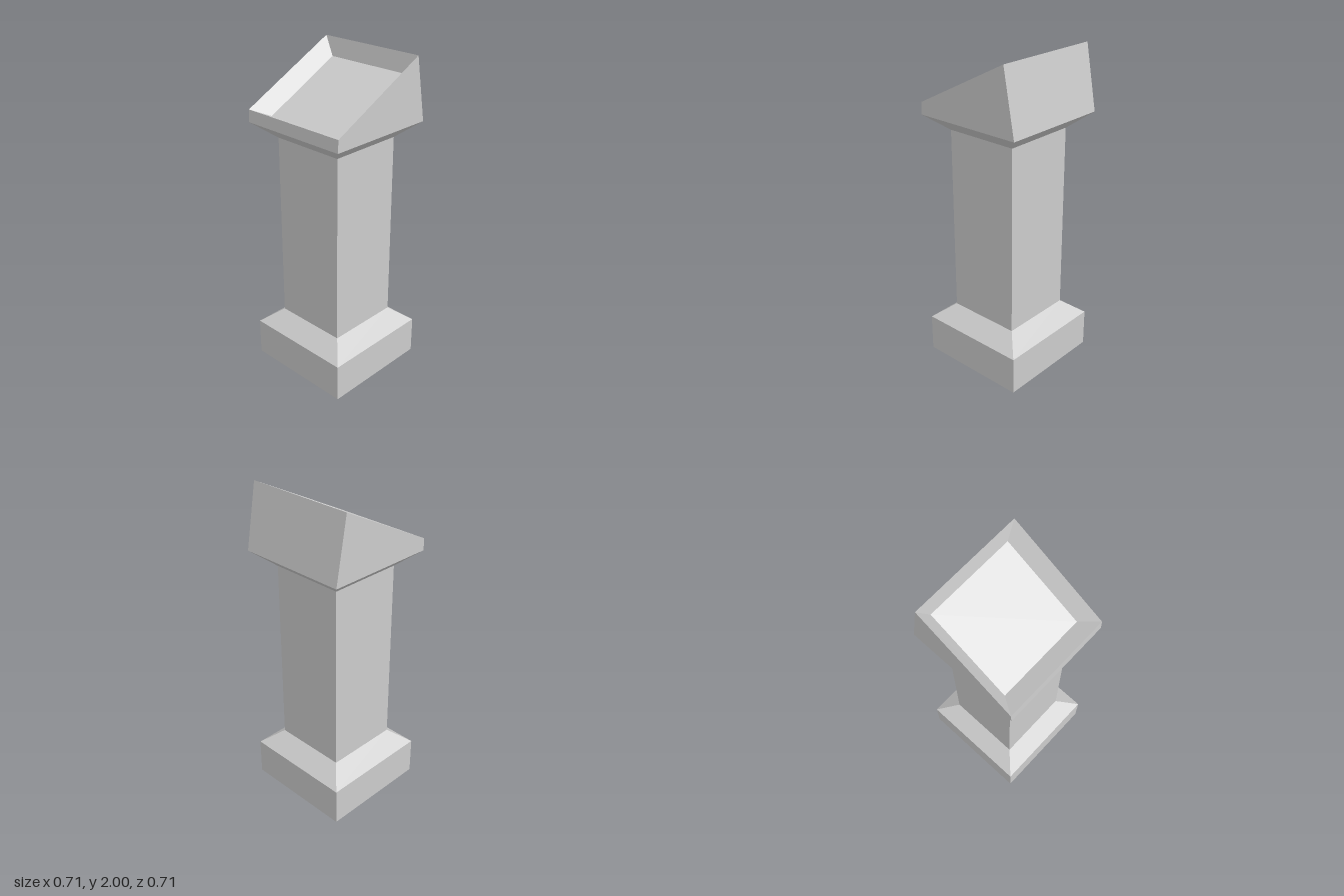
import * as THREE from 'three';

// Skin through four-cornered rings, each [left x, left y, right x, right y, half depth]
function loft(name, rings, { capBottom = false, capTop = false } = {}) {
  const corners = rings.map(([x0, y0, x1, y1, h]) => [
    [x0, y0, h], [x1, y1, h], [x1, y1, -h], [x0, y0, -h],
  ]);
  const pos = [];
  const quad = (a, b, c, d) => pos.push(...a, ...b, ...c, ...a, ...c, ...d);
  for (let r = 0; r < corners.length - 1; r++) {
    const low = corners[r], high = corners[r + 1];
    for (let i = 0; i < 4; i++) {
      const j = (i + 1) % 4;
      quad(low[i], low[j], high[j], high[i]);
    }
  }
  if (capBottom) quad(...[...corners[0]].reverse());
  if (capTop) quad(...corners[corners.length - 1]);

  const geometry = new THREE.BufferGeometry();
  geometry.setAttribute('position', new THREE.Float32BufferAttribute(pos, 3));
  geometry.computeVertexNormals();
  const material = new THREE.MeshStandardMaterial({ color: 0xcccccc, flatShading: true });
  const mesh = new THREE.Mesh(geometry, material);
  mesh.name = name;
  return mesh;
}

// Level square ring
const square = (half, y) => [-half, y, half, y, half];

export function createModel() {
  const group = new THREE.Group();
  group.name = 'pedestal';

  const WIDE = 0.353, NARROW = 0.236;
  const footTop = 0.333, neck = 1.51;

  // Plinth with a sloped shoulder
  group.add(loft('base', [square(WIDE, 0), square(WIDE, 0.239), square(NARROW, footTop)], { capBottom: true }));

  // Square column
  group.add(loft('shaft', [square(NARROW, footTop), square(NARROW, neck)]));

  // Flared head, slanted rim, then the sunken panel inside it
  group.add(loft('slantedHead', [
    square(NARROW, neck),
    square(WIDE, 1.605),
    [-0.349, 1.68, 0.28, 2, WIDE],
    [-0.241, 1.631, 0.26, 1.887, 0.282],
  ], { capTop: true }));

  return group;
}
